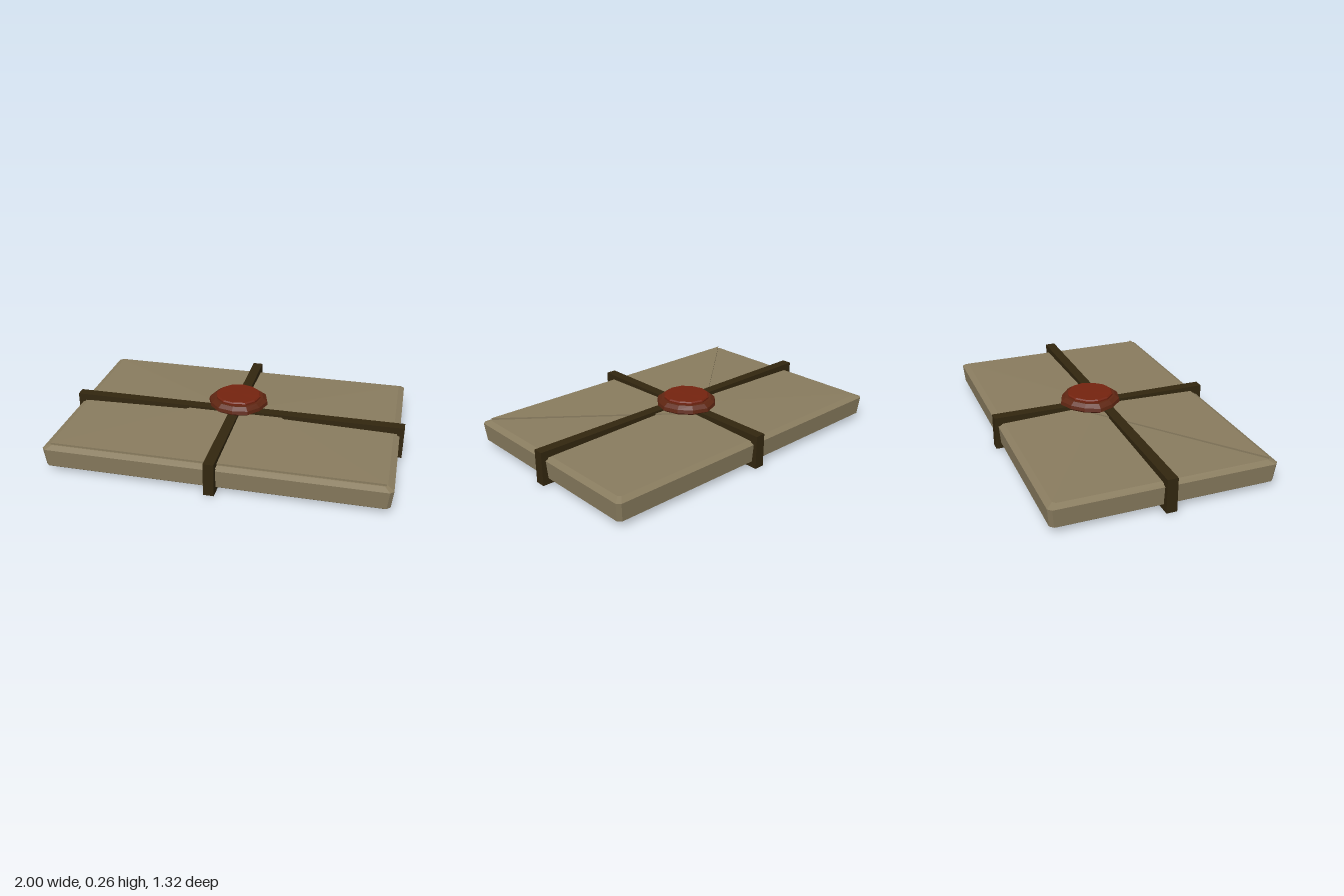
import * as THREE from 'three';

const mat = (name, color) => {
  const m = new THREE.MeshStandardMaterial({ color });
  m.name = name;
  return m;
};

// Closed solid from stacked rings of points, capped by a point at each end
function loft(rings, bottom, top) {
  const pos = [];
  const tri = (a, b, c) => pos.push(...a, ...b, ...c);
  const n = rings[0].length;
  for (let i = 0; i < n; i++) {
    const j = (i + 1) % n;
    tri(bottom, rings[0][j], rings[0][i]);
    for (let k = 0; k < rings.length - 1; k++) {
      const a = rings[k], b = rings[k + 1];
      tri(a[i], a[j], b[j]);
      tri(a[i], b[j], b[i]);
    }
    tri(rings.at(-1)[i], rings.at(-1)[j], top);
  }
  const g = new THREE.BufferGeometry();
  g.setAttribute('position', new THREE.Float32BufferAttribute(pos, 3));
  g.computeVertexNormals();
  return g;
}

// Rectangle with clipped corners, running from +z towards +x
function rectRing(y, inset, clip) {
  const x = 0.975 - inset, f = 0.63 - inset, b = -0.64 + inset;
  return [[x - clip, f], [x, f - clip], [x, b + clip], [x - clip, b],
    [-x + clip, b], [-x, b + clip], [-x, f - clip], [-x + clip, f]].map(([px, pz]) => [px, y, pz]);
}

// Slightly uneven round ring for the wax
function waxRing(y, r, wobble) {
  return Array.from({ length: 12 }, (_, i) => {
    const a = (i / 12) * Math.PI * 2;
    const s = r * (1 + wobble * Math.sin(i * 2.3));
    return [Math.sin(a) * s, y + wobble * 0.1 * Math.cos(i * 1.7), Math.cos(a) * s];
  });
}

// Rectangular band around the parcel
function band(half, width) {
  const rect = (p, x, y0, y1) => p.moveTo(-x, y0).lineTo(x, y0).lineTo(x, y1).lineTo(-x, y1).closePath();
  const shape = rect(new THREE.Shape(), half, 0, 0.195);
  shape.holes.push(rect(new THREE.Path(), half - 0.04, 0.03, 0.155));
  return new THREE.ExtrudeGeometry(shape, { depth: width, bevelEnabled: false }).translate(0, 0, -width / 2);
}

export function createModel() {
  const model = new THREE.Group();
  const paper = mat('tan paper', 0x887b5e);
  const leather = mat('dark leather', 0x32260f);
  const wax = mat('dark red wax', 0x5f2612);
  const stamp = mat('red wax', 0x74230f);
  const add = (name, geometry, material) => {
    const mesh = new THREE.Mesh(geometry, material);
    mesh.name = name;
    model.add(mesh);
    return mesh;
  };

  // Puffed paper parcel
  add('envelope', loft([
    rectRing(0.02, 0.03, 0.015), rectRing(0.035, 0.01, 0.02),
    rectRing(0.14, 0, 0.02), rectRing(0.156, 0.035, 0.015),
  ], [0, 0.015, 0], [0, 0.178, 0]), paper);

  // Triangular flap, rising towards its tip
  const tri = new THREE.Shape([[-0.935, -0.59], [0.935, -0.59], [0, 0.21]].map(p => new THREE.Vector2(...p)));
  const flap = new THREE.ExtrudeGeometry(tri, { depth: 0.014, bevelEnabled: false }).rotateX(-Math.PI / 2);
  const p = flap.attributes.position;
  for (let i = 0; i < p.count; i++) p.setY(i, p.getY(i) + 0.153 + (0.59 - p.getZ(i)) * 0.023);
  flap.computeVertexNormals();
  add('flap', flap, paper);

  // Crossed straps
  add('longStrap', band(1, 0.06), leather);
  add('shortStrap', band(0.66, 0.06).rotateY(Math.PI / 2), leather);

  // Wax seal with a raised stamped disc
  const seal = add('seal', loft([
    waxRing(0.192, 0.16, 0.02), waxRing(0.205, 0.178, 0.03),
    waxRing(0.225, 0.174, 0.03), waxRing(0.244, 0.15, 0.02),
  ], [0, 0.19, 0], [0, 0.246, 0]), wax);
  const disc = add('sealDisc', loft([
    waxRing(0.235, 0.135, 0.01), waxRing(0.254, 0.135, 0.01), waxRing(0.26, 0.127, 0.01),
  ], [0, 0.235, 0], [0, 0.259, 0]), stamp);
  seal.position.z = disc.position.z = -0.068;

  return model;
}
